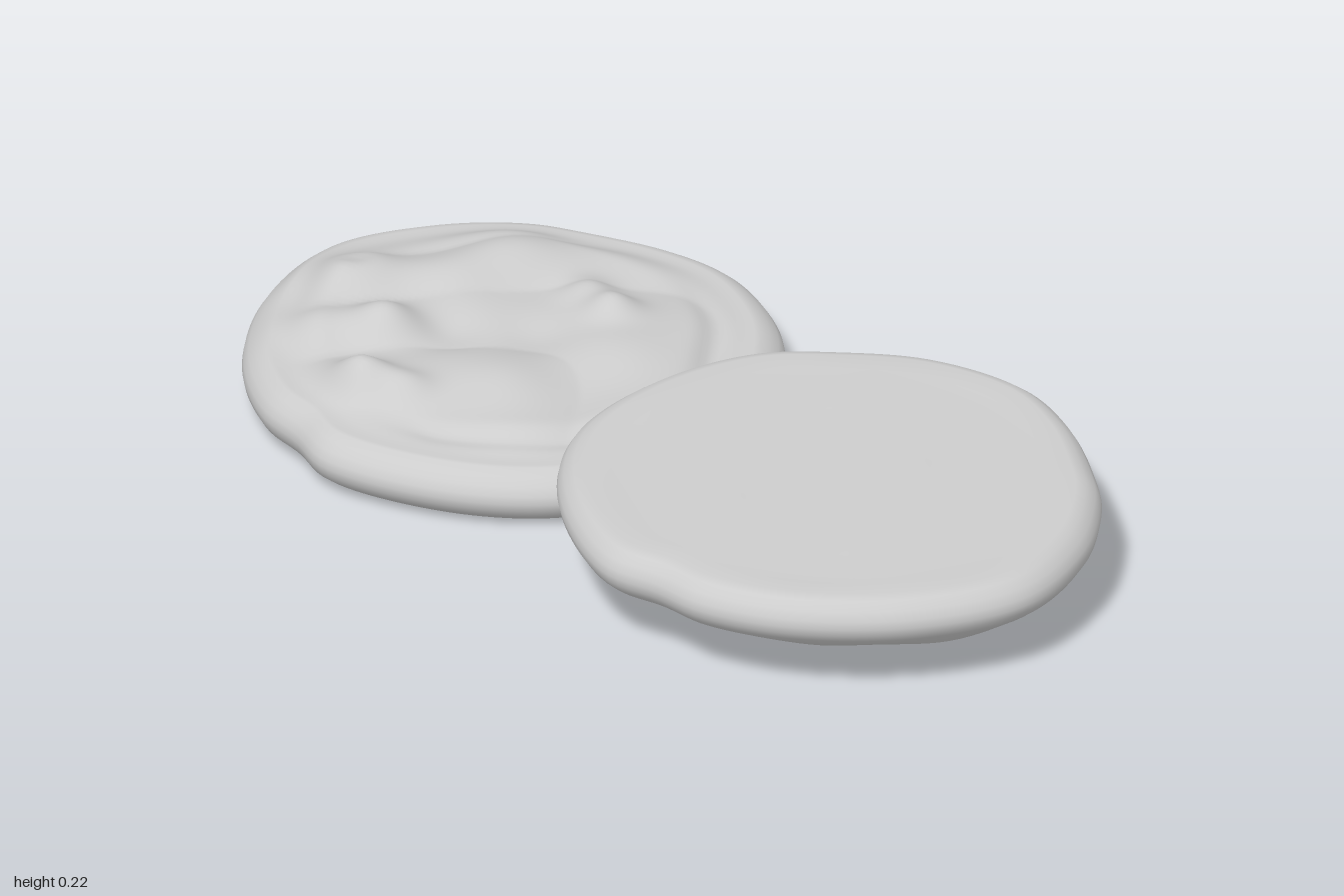
import * as THREE from 'three';
import { mergeVertices } from 'three/addons/utils/BufferGeometryUtils.js';

// Slightly irregular outline, [x, z] about the biscuit's centre
const OUTLINE = [[.53, 0], [.48, .235], [.33, .4], [.075, .51], [-.04, .485], [-.15, .47], [-.31, .38],
  [-.46, .2], [-.525, -.01], [-.46, -.21], [-.34, -.355], [-.26, -.41], [-.1, -.49], [.06, -.52],
  [.25, -.46], [.385, -.345], [.49, -.21]];

// Lumps and dents on the baked face: [x, z, radius, height]
const LUMPS = [[-.35, .08, .085, .045], [-.35, .07, .035, -.018], [-.2, -.04, .09, .022],
  [-.16, .16, .065, .048], [-.03, .33, .055, .045], [.05, .29, .05, .025], [.07, -.2, .05, .035],
  [-.02, -.22, .05, .028], [-.22, -.2, .1, .03], [.2, -.1, .1, .014], [.15, .13, .1, .018],
  [-.08, .07, .06, -.012], [.04, -.04, .07, -.012], [-.26, .25, .07, .02]];

// Rounded side, [fraction of radius, y], from the underside to the upper face
const SIDE = [[.9, .004], [.94, .01], [.975, .024], [.994, .04], [1, .055], [.994, .07], [.975, .085], [.945, .098]];

function bakedHeight(x, z, s) {
  const inside = 1 - THREE.MathUtils.smoothstep(s, .68, .86);
  let y = .108 + .02 * inside;
  for (const [cx, cz, r, h] of LUMPS) y += h * Math.exp(-((x - cx) ** 2 + (z - cz) ** 2) / (r * r));
  // Folded crust and the groove inside the right-hand rim
  const fold = Math.abs(Math.sin(9 * z + 3 * Math.sin(5 * x + 1) + 2 * x));
  y += inside * (.012 * fold - .008 + .004 * Math.sin(17 * x + 6 * z));
  y -= .014 * Math.exp(-(((s - .74) / .05) ** 2)) * THREE.MathUtils.smoothstep(x, 0, .3);
  return y;
}

function biscuitGeometry() {
  const n = 144, rings = 44;
  const edge = new THREE.CatmullRomCurve3(OUTLINE.map(([x, z]) => new THREE.Vector3(x, 0, z)), true)
    .getSpacedPoints(n);
  const profile = [];
  for (let i = 0; i < 12; i++) profile.push([.88 * i / 12, 'under']);
  profile.push(...SIDE);
  for (let i = rings; i >= 0; i--) profile.push([.91 * i / rings, 'baked']);

  const pos = [], index = [];
  profile.forEach(([s, level], i) => {
    for (let j = 0; j < n; j++) {
      const x = edge[j].x * s, z = edge[j].z * s;
      let y = level;
      if (level === 'under') y = .007 + .002 * Math.sin(11 * x + 5 * z) * Math.cos(9 * z);
      if (level === 'baked') y = bakedHeight(x, z, s);
      pos.push(x, y - .014 * x, z);
      if (i === profile.length - 1) continue;
      const a = i * n + j, b = i * n + (j + 1) % n;
      if (i > 0) index.push(a, a + n, b);
      index.push(b, a + n, b + n);
    }
  });
  let geo = new THREE.BufferGeometry();
  geo.setAttribute('position', new THREE.Float32BufferAttribute(pos, 3));
  geo.setIndex(index);
  geo = mergeVertices(geo, 1e-5);
  geo.computeVertexNormals();
  return geo;
}

export function createModel() {
  const model = new THREE.Group();
  model.name = 'biscuits';
  const dough = new THREE.MeshStandardMaterial({ color: 0xcccccc });
  dough.name = 'pale grey';
  const geo = biscuitGeometry();

  // One lies baked side up
  const upright = new THREE.Mesh(geo, dough);
  upright.name = 'uprightBiscuit';
  upright.position.set(-.47, 0, 0);

  // The other is the same biscuit turned over, resting on the first one's rim
  const flipped = new THREE.Mesh(geo, dough);
  flipped.name = 'flippedBiscuit';
  flipped.rotation.z = Math.PI;
  flipped.position.set(.47, .213, 0);

  model.add(upright, flipped);
  return model;
}
